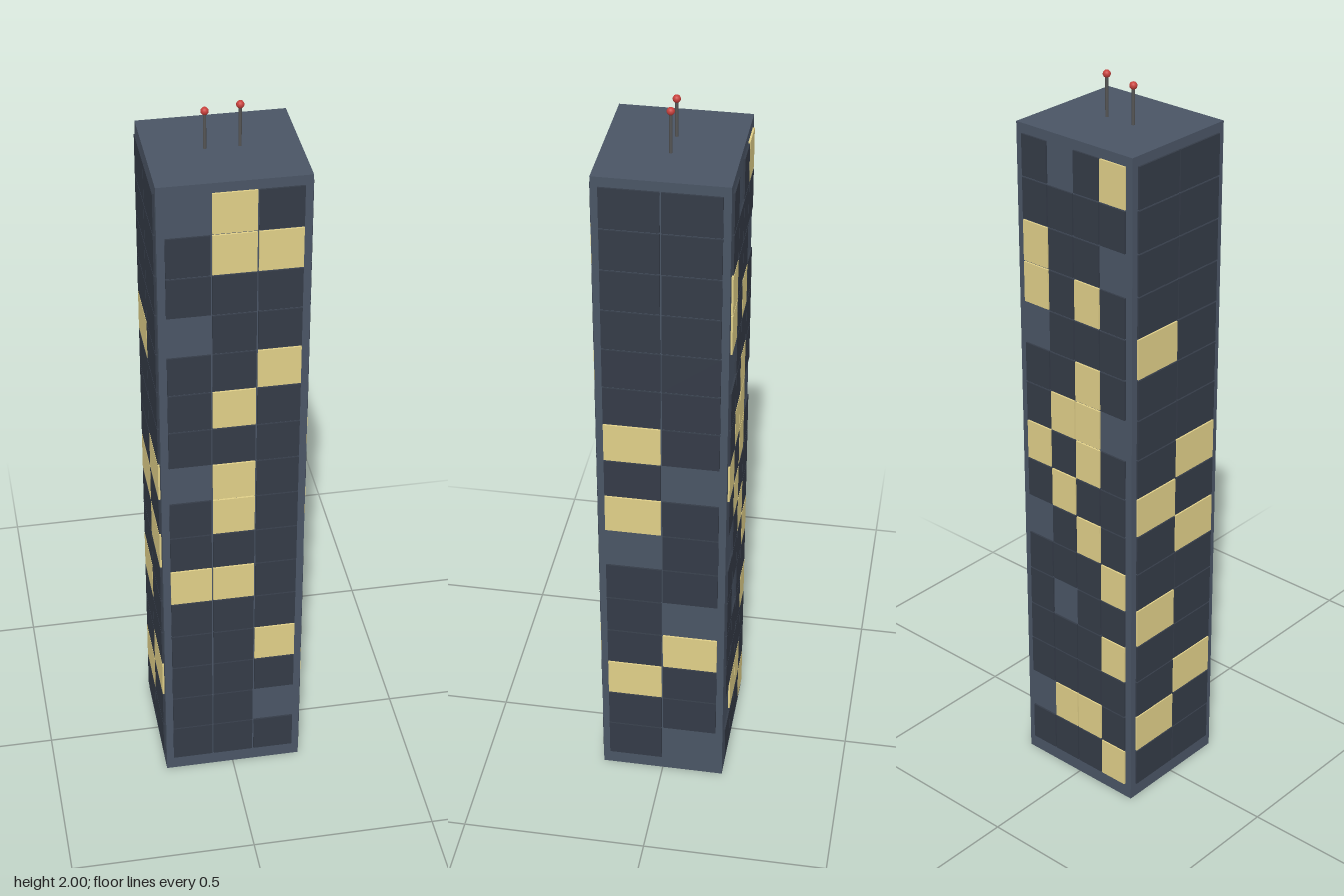
import * as THREE from 'three';

const W = 0.378, D = 0.338, H = 1.88;   // tower body
const BASE = 0.04, PITCH = 0.1135, GAP = 0.004, THICK = 0.01;

const mat = (color) => new THREE.MeshStandardMaterial({ color });
const wallMat = mat(0x4a5565), darkMat = mat(0x343b47), litMat = mat(0xe0cf88);
const rodMat = mat(0x555555), redMat = mat(0xc8403c);

// Window patterns, ground floor first, each row read left to right from outside:
// d = dark pane, y = lit pane, - = bare wall
const FACES = [
  { name: 'front', angle: 0, dist: D / 2, width: 0.342,
    rows: 'ddd dd- ddd ddy ddd yyd ddd dyd -yd ddd dyd ddy -dd ddd dyy -yd' },
  { name: 'right', angle: Math.PI / 2, dist: W / 2, width: 0.304,
    rows: 'd- dd yd dy d- dd -d yd d- yd dd dd dd dd dd dd' },
  { name: 'back', angle: Math.PI, dist: D / 2, width: 0.342,
    rows: 'dddy -yyd dddd dddy d-dd dddy -dyd dydd ydyd dyy- ddyd -ddd ydyd ydd- dddd d-dy' },
  { name: 'left', angle: -Math.PI / 2, dist: W / 2, width: 0.304,
    rows: 'dd yd dy dd yd dd dy yd dy dd dd yd dd dd dd dd' },
];

function windowWall({ name, angle, dist, width, rows }) {
  const wall = new THREE.Group();
  wall.name = name + 'Windows';
  const floors = rows.split(' ');
  const step = width / floors[0].length;
  const pane = new THREE.BoxGeometry(step - GAP, PITCH - GAP, THICK);
  floors.forEach((floor, r) => {
    [...floor].forEach((kind, c) => {
      if (kind === '-') return;
      const mesh = new THREE.Mesh(pane, kind === 'y' ? litMat : darkMat);
      mesh.name = kind === 'y' ? 'litWindow' : 'darkWindow';
      mesh.position.set(-width / 2 + (c + 0.5) * step, BASE + (r + 0.5) * PITCH, dist);
      wall.add(mesh);
    });
  });
  wall.rotation.y = angle;
  return wall;
}

// Rooftop mast with a red warning light
function antenna(x, top) {
  const group = new THREE.Group();
  group.name = 'antenna';
  const length = top - H;
  const rod = new THREE.Mesh(new THREE.CylinderGeometry(0.004, 0.004, length, 8), rodMat);
  rod.name = 'antennaRod';
  rod.position.y = H + length / 2;
  const light = new THREE.Mesh(new THREE.SphereGeometry(0.01, 16, 12), redMat);
  light.name = 'warningLight';
  light.position.y = top;
  group.add(rod, light);
  group.position.x = x;
  return group;
}

export function createModel() {
  const model = new THREE.Group();
  model.name = 'tower';

  const body = new THREE.Mesh(new THREE.BoxGeometry(W, H, D), wallMat);
  body.name = 'towerBody';
  body.position.y = H / 2;
  model.add(body);

  FACES.forEach((face) => model.add(windowWall(face)));
  model.add(antenna(-0.043, 1.98), antenna(0.043, 1.99));
  return model;
}
